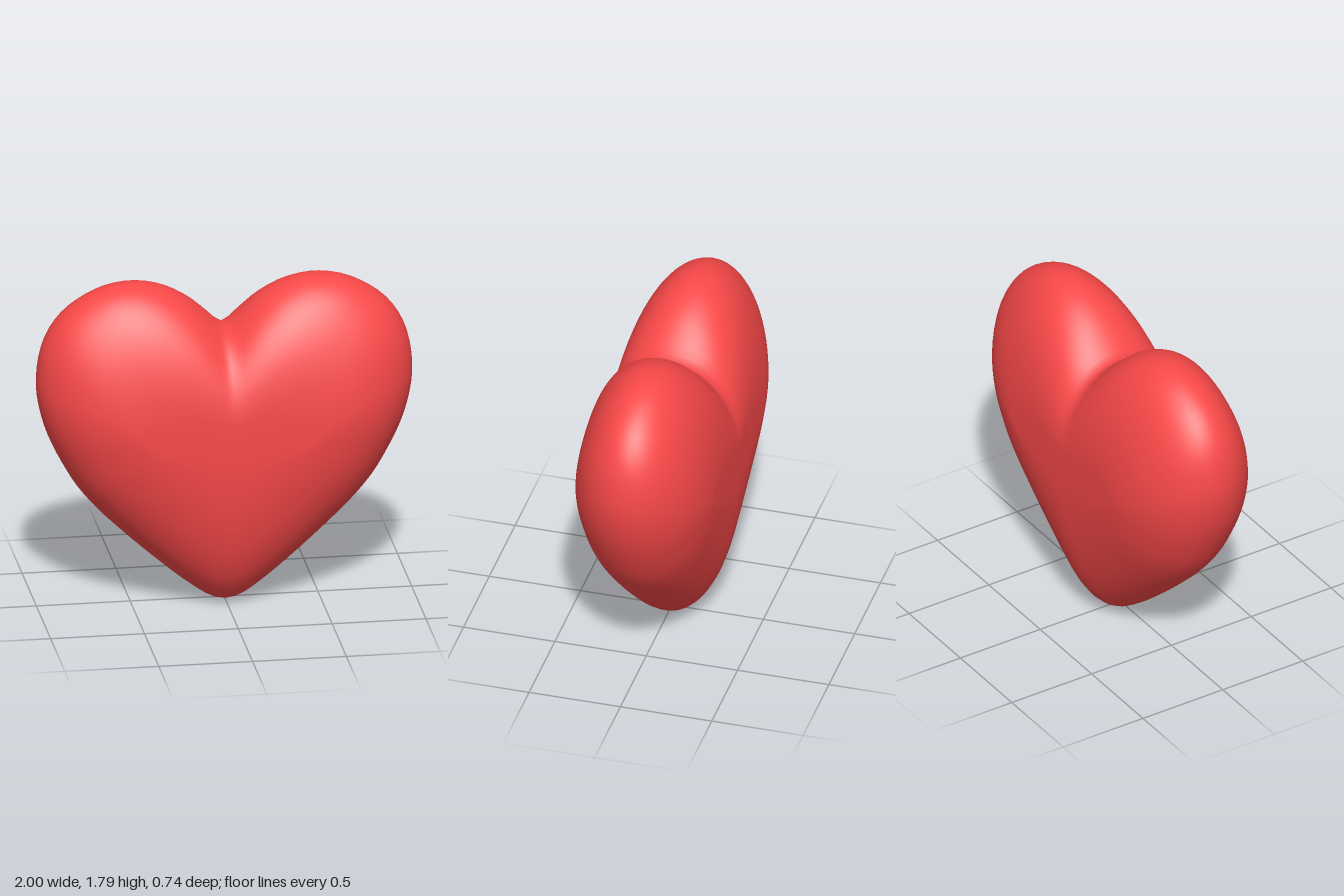
import * as THREE from 'three';
import { mergeVertices } from 'three/addons/utils/BufferGeometryUtils.js';

const HALF_DEPTH = 0.37;

// Half outline of the heart, from the notch over the lobe and down to the tip
const outline = new THREE.CatmullRomCurve3([
  [0, 1.53], [0.025, 1.54], [0.1, 1.61], [0.2, 1.693], [0.337, 1.763], [0.49, 1.79],
  [0.64, 1.768], [0.78, 1.7], [0.87, 1.626], [0.936, 1.535], [0.98, 1.42], [1, 1.27],
  [0.995, 1.17], [0.97, 1.05], [0.936, 0.95], [0.88, 0.83], [0.79, 0.675], [0.68, 0.54],
  [0.55, 0.41], [0.385, 0.258], [0.21, 0.11], [0.07, 0.015], [0, 0],
].map(([x, y]) => new THREE.Vector3(x, y, 0)), false, 'centripetal');

// Flattened small heart where the rounded sides meet the front and back faces
const faceEdge = (p) => new THREE.Vector3(0.45 * p.x, 0.9 + 0.1 * p.y, 0);

// Sphere with its poles at front and back: each meridian becomes a quarter
// ellipse running from the face edge out to the outline
function heartGeometry() {
  let geometry = new THREE.SphereGeometry(1, 112, 48).rotateX(Math.PI / 2);
  const pos = geometry.attributes.position;
  for (let i = 0; i < pos.count; i++) {
    const x = pos.getX(i), y = pos.getY(i), z = pos.getZ(i);
    const spread = Math.hypot(x, y);
    if (spread < 1e-6) {
      // Poles close the faces
      pos.setXYZ(i, 0, 0.99, HALF_DEPTH * z);
      continue;
    }
    const edge = outline.getPointAt(Math.min(1, Math.atan2(Math.abs(x), y) / Math.PI));
    const point = faceEdge(edge).lerp(edge, spread);
    pos.setXYZ(i, Math.sign(x) * point.x, point.y, HALF_DEPTH * z);
  }
  // Weld the seam so the shading is smooth all round
  geometry.deleteAttribute('uv');
  geometry.deleteAttribute('normal');
  geometry = mergeVertices(geometry, 1e-5);
  geometry.computeVertexNormals();
  return geometry;
}

export function createModel() {
  const group = new THREE.Group();
  group.name = 'heart';
  const body = new THREE.Mesh(heartGeometry(), new THREE.MeshStandardMaterial({ color: 0xf84848 }));
  body.name = 'heartBody';
  group.add(body);
  return group;
}
